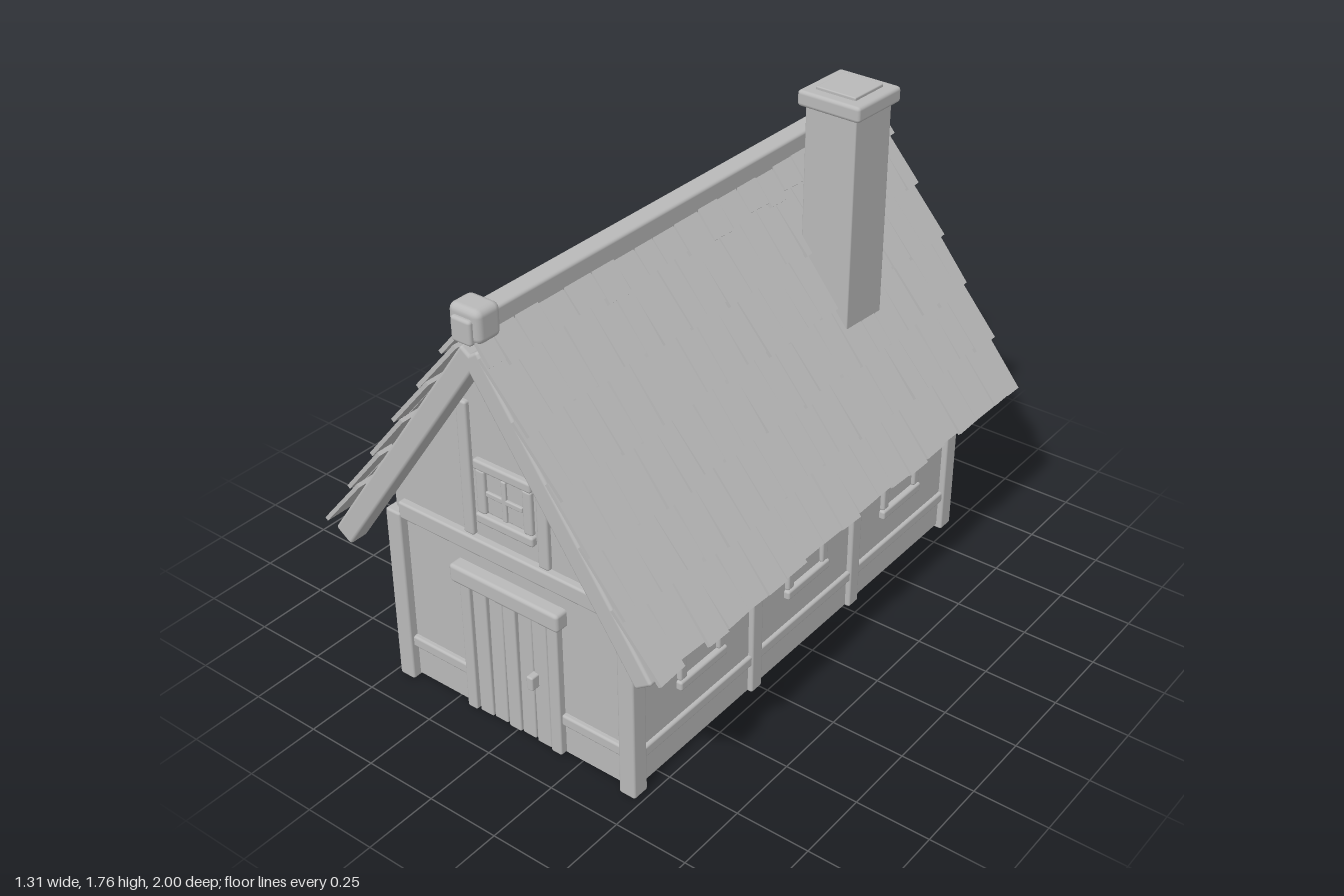
import * as THREE from 'three';
import { RoundedBoxGeometry } from 'three/addons/geometries/RoundedBoxGeometry.js';
import { mergeGeometries } from 'three/addons/utils/BufferGeometryUtils.js';

const grey = new THREE.MeshStandardMaterial({ color: 0xb9b9b9 });
grey.name = 'plainGrey';
grey.side = THREE.DoubleSide;

// small seeded generator for the uneven shingles
let seed = 7;
const rnd = (a, b) => {
  seed = (seed * 16807) % 2147483647;
  return a + (b - a) * (seed / 2147483647);
};

function add(parent, name, geometry) {
  const m = new THREE.Mesh(geometry, grey);
  m.name = name;
  parent.add(m);
  return m;
}

// softly bevelled block given by its limits
function block(parent, name, x0, x1, y0, y1, z0, z1, r = 0.008) {
  const g = new RoundedBoxGeometry(x1 - x0, y1 - y0, z1 - z0, 2, r);
  const m = add(parent, name, g);
  m.position.set((x0 + x1) / 2, (y0 + y1) / 2, (z0 + z1) / 2);
  return m;
}

// square window facing +z, centred on its own origin
function makeWindow(size, mullions) {
  const w = new THREE.Group();
  w.name = 'window';
  const h = size / 2, t = 0.034, d = 0.025;
  for (const s of [-1, 1]) {
    block(w, 'windowRail', -h, h, s * (h - t / 2) - t / 2, s * (h - t / 2) + t / 2, -d, d);
    block(w, 'windowStile', s * (h - t / 2 - 0.004) - t / 2, s * (h - t / 2 - 0.004) + t / 2,
      -h + t, h - t, -d + 0.005, d - 0.005);
  }
  const p = h - t - 0.006;
  block(w, 'windowPane', -p, p, -p, p, -0.008, 0.01, 0.003);
  if (mullions) {
    block(w, 'mullion', -0.009, 0.009, -p, p, -0.015, 0.018, 0.004);
    block(w, 'mullion', -p, p, -0.009, 0.009, -0.015, 0.018, 0.004);
  }
  return w;
}

// gable wall with timber frame, facing +z
function makeGable(isFront) {
  const g = new THREE.Group();
  g.name = isFront ? 'frontGable' : 'backGable';
  const outline = new THREE.Shape([[-0.46, 0.01], [0.46, 0.01], [0.46, 0.73], [0, 1.39], [-0.46, 0.73]]
    .map(([x, y]) => new THREE.Vector2(x, y)));
  const wall = add(g, 'gableWall', new THREE.ExtrudeGeometry(outline, { depth: 0.02, bevelEnabled: false }));
  wall.position.z = 0.84;

  block(g, 'tieBeam', -0.43, 0.43, 0.62, 0.68, 0.83, 0.885);
  for (const s of [-1, 1]) {
    block(g, 'gablePost', s * 0.145 - 0.02, s * 0.145 + 0.02, 0.68, 1.14, 0.835, 0.877);
    // sloping barge board
    const dx = 0.587, dy = 0.85;
    const board = add(g, 'bargeBoard', new RoundedBoxGeometry(0.072, Math.hypot(dx, dy), 0.07, 2, 0.01));
    board.position.set(s * dx / 2, 0.535 + dy / 2, 0.94);
    board.rotation.z = s * Math.atan2(dx, dy);
  }

  if (!isFront) {
    block(g, 'lowRail', -0.43, 0.43, 0.125, 0.165, 0.835, 0.877);
    return g;
  }
  for (const s of [-1, 1]) {
    block(g, 'lowRail', s * 0.31 - 0.12, s * 0.31 + 0.12, 0.125, 0.165, 0.835, 0.877);
  }
  const win = makeWindow(0.22, true);
  win.position.set(0, 0.85, 0.855);
  g.add(win);

  // plank door
  const edges = [-0.195, -0.15, -0.09, -0.03, 0.025, 0.085, 0.148, 0.195];
  for (let i = 0; i < edges.length - 1; i++) {
    const jamb = i === 0 || i === edges.length - 2;
    const plank = block(g, jamb ? 'doorJamb' : 'doorPlank', edges[i] + 0.003, edges[i + 1] - 0.003,
      0.01, 0.5, 0.835, jamb ? 0.885 : 0.874 + (i % 2) * 0.004, 0.006);
    if (!jamb) plank.rotation.z = (i % 2 ? 1 : -1) * 0.006;
  }
  block(g, 'doorLintel', -0.213, 0.213, 0.495, 0.558, 0.83, 0.905, 0.012);
  block(g, 'doorHandle', 0.083, 0.108, 0.23, 0.28, 0.87, 0.908, 0.006);
  return g;
}

// long side wall on the +x or -x side
function makeSide(s) {
  const g = new THREE.Group();
  g.name = s > 0 ? 'leftSide' : 'rightSide';
  const bar = (name, x0, x1, y0, y1, z0, z1) =>
    block(g, name, Math.min(s * x0, s * x1), Math.max(s * x0, s * x1), y0, y1, z0, z1);
  bar('sideWall', 0.44, 0.46, 0.01, 0.73, -0.85, 0.85);
  bar('sideRail', 0.43, 0.473, 0.115, 0.155, -0.84, 0.84);
  bar('topPlate', 0.43, 0.477, 0.57, 0.63, -0.84, 0.84);
  for (const z of [-0.275, 0.275]) bar('sidePost', 0.43, 0.477, 0.01, 0.6, z - 0.027, z + 0.027);
  for (const z of [-0.86, 0.86]) bar('cornerPost', 0.42, 0.48, 0, 0.64, z - 0.031, z + 0.031);
  for (const z of [-0.55, 0, 0.55]) {
    const win = makeWindow(0.23, false);
    win.position.set(s * 0.455, 0.373, z);
    win.rotation.y = s * Math.PI / 2;
    g.add(win);
  }
  return g;
}

// one roof slope: a thin deck with overlapping shingle rows
function makeSlope(s) {
  const g = new THREE.Group();
  g.name = s > 0 ? 'leftRoof' : 'rightRoof';
  const deck = add(g, 'roofDeck', new THREE.BoxGeometry(0.015, 1.02, 1.86));
  deck.position.set(s * 0.294, 0.998, 0);
  deck.rotation.z = s * Math.atan2(0.587, 0.85);

  const lie = THREE.MathUtils.degToRad(50);
  for (let row = 0; row < 6; row++) {
    const tiles = [], count = 20, pitch = 1.97 / count;
    const cuts = [];
    for (let i = 0; i <= count; i++) {
      const end = i === 0 || i === count;
      cuts.push(-0.985 + i * pitch + (end ? 0 : (row % 2 ? 0.025 : -0.02) + rnd(-0.015, 0.015)));
    }
    for (let i = 0; i < count; i++) {
      const drop = rnd(-0.012, 0.012);
      const len = (row === 5 ? 0.11 : 0.24) + drop;
      const tile = new THREE.BoxGeometry(0.013, len, cuts[i + 1] - cuts[i] - 0.004);
      tile.rotateX(rnd(-0.04, 0.04));
      tile.translate(s * rnd(-0.002, 0.004), len / 2 - drop, 0);
      tile.rotateZ(s * (Math.PI / 2 - lie));
      tile.translate(s * (0.642 - 0.11 * row), 0.58 + 0.158 * row, (cuts[i] + cuts[i + 1]) / 2);
      tiles.push(tile);
    }
    add(g, 'shingleRow', mergeGeometries(tiles));
  }
  return g;
}

export function createModel() {
  const house = new THREE.Group();
  house.name = 'cottage';

  const back = makeGable(false);
  back.rotation.y = Math.PI;
  house.add(makeGable(true), back);
  for (const s of [-1, 1]) house.add(makeSide(s), makeSlope(s));

  // ridge beam with end caps
  block(house, 'ridgeBeam', -0.036, 0.036, 1.43, 1.508, -1, 1, 0.01);
  for (const z of [-0.94, 0.94]) {
    block(house, 'ridgeCap', -0.057, 0.057, 1.43, 1.536, z - 0.047, z + 0.047, 0.022);
  }

  // chimney
  const chimney = new THREE.Group();
  chimney.name = 'chimney';
  chimney.position.set(0.264, 0, -0.442);
  chimney.rotation.y = -0.03;
  block(chimney, 'chimneyStack', -0.093, 0.093, 0.88, 1.71, -0.093, 0.093, 0.005);
  block(chimney, 'chimneyCap', -0.114, 0.114, 1.698, 1.75, -0.112, 0.112, 0.012);
  block(chimney, 'chimneyTop', -0.073, 0.073, 1.735, 1.76, -0.073, 0.073, 0.004);
  house.add(chimney);
  return house;
}
